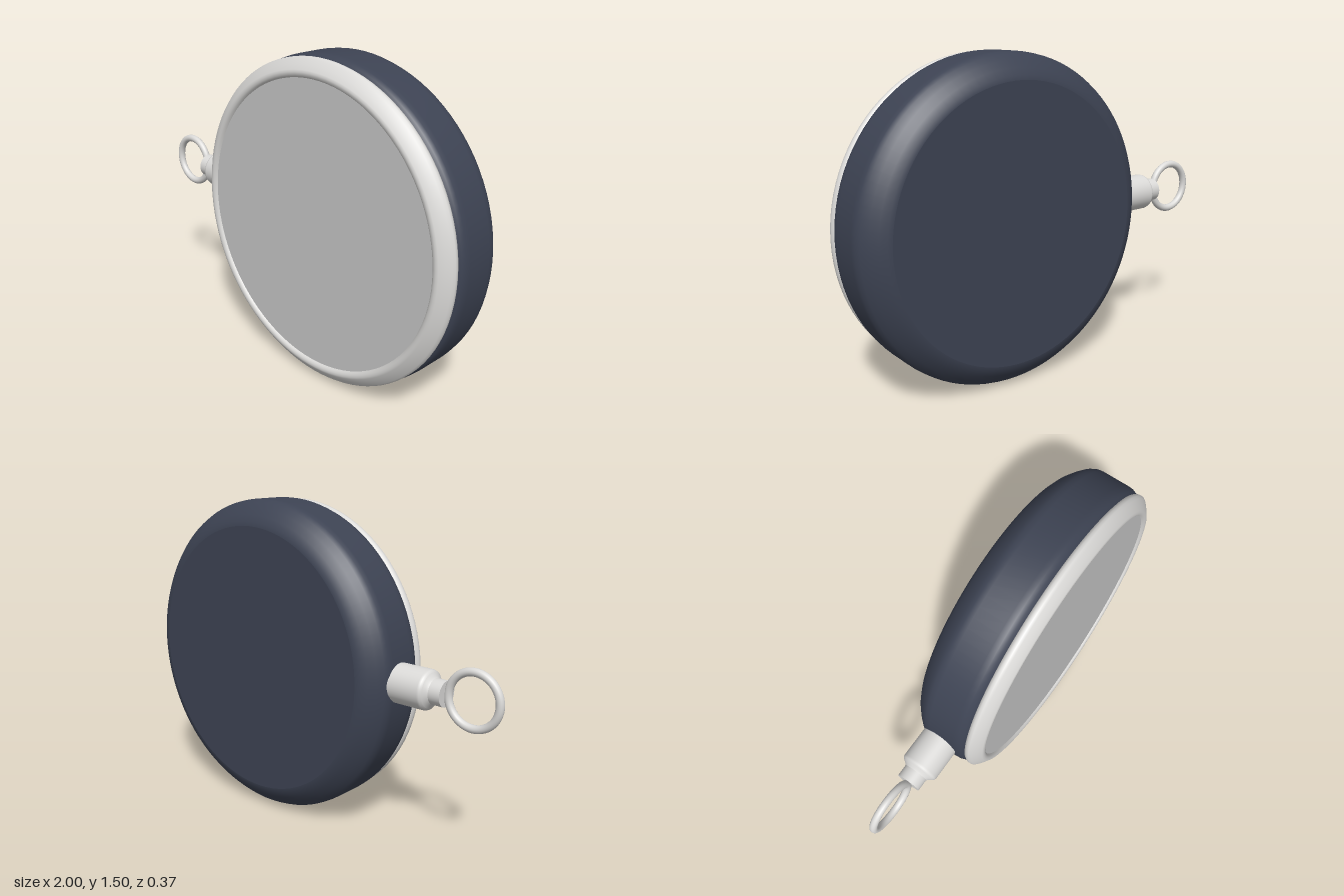
import * as THREE from 'three';

const CX = 0.248, CY = 0.753, R = 0.752; // case centre and radius
const STEM_Y = 0.76, STEM_Z = -0.015;

const paint = (name, color) => {
  const m = new THREE.MeshStandardMaterial({ color });
  m.name = name;
  return m;
};

export function createModel() {
  const navy = paint('navy', 0x3d4353);
  const silver = paint('silver', 0xdbdad8);
  const lens = paint('pale grey', 0xc8c8c8);
  const model = new THREE.Group();

  const add = (parent, name, geometry, material) => {
    const mesh = new THREE.Mesh(geometry, material);
    mesh.name = name;
    parent.add(mesh);
    return mesh;
  };
  const lathe = (points, sides) =>
    new THREE.LatheGeometry(points.map(([r, h]) => new THREE.Vector2(r, h)), sides);

  // Round parts are turned about a local y axis that becomes +z
  const watch = new THREE.Group();
  watch.name = 'case';
  watch.position.set(CX, CY, 0);
  watch.rotation.x = Math.PI / 2;
  model.add(watch);

  // Case wall with rounded back edge
  add(watch, 'caseWall', lathe([
    [0.635, -0.187], [0.655, -0.183], [0.685, -0.165], [0.715, -0.138],
    [0.738, -0.112], [0.749, -0.09], [R, -0.065], [R, 0.06],
    [0.75, 0.085], [0.743, 0.103], [0.725, 0.115],
  ], 96), navy);
  const back = add(watch, 'caseBack', new THREE.CircleGeometry(0.635, 96), navy);
  back.rotation.x = Math.PI / 2;
  back.position.y = -0.187;

  // Bezel: bevelled outside, small rounded lip inside
  add(watch, 'bezel', lathe([
    [0.725, 0.113], [0.738, 0.118], [0.744, 0.13], [0.744, 0.142], [0.736, 0.153],
    [0.715, 0.17], [0.695, 0.184], [0.685, 0.187], [0.675, 0.186], [0.666, 0.181], [0.66, 0.172],
  ], 96), silver);
  const face = add(watch, 'facePlate', new THREE.CircleGeometry(0.662, 96), lens);
  face.rotation.x = -Math.PI / 2;
  face.position.y = 0.174;

  // Stem on the right side: barrel, shoulder and neck
  const stem = new THREE.Group();
  stem.name = 'stem';
  stem.position.set(0, STEM_Y, STEM_Z);
  stem.rotation.z = Math.PI / 2; // local +y points to -x
  model.add(stem);
  add(stem, 'stemBarrel', lathe([[0.089, 0.46], [0.089, 0.645], [0.086, 0.655], [0.078, 0.662]], 48), silver);
  add(stem, 'stemShoulder', lathe([[0.078, 0.662], [0.064, 0.672], [0.057, 0.68]], 48), silver);
  add(stem, 'stemNeck', lathe([[0.057, 0.68], [0.057, 0.735]], 48), silver);
  add(stem, 'stemEnd', lathe([[0.057, 0.735], [0, 0.735]], 48), silver);

  // Hanging loop
  const loop = add(model, 'loop', new THREE.TorusGeometry(0.119, 0.018, 16, 72), silver);
  loop.position.set(-0.863, STEM_Y, STEM_Z);

  return model;
}
